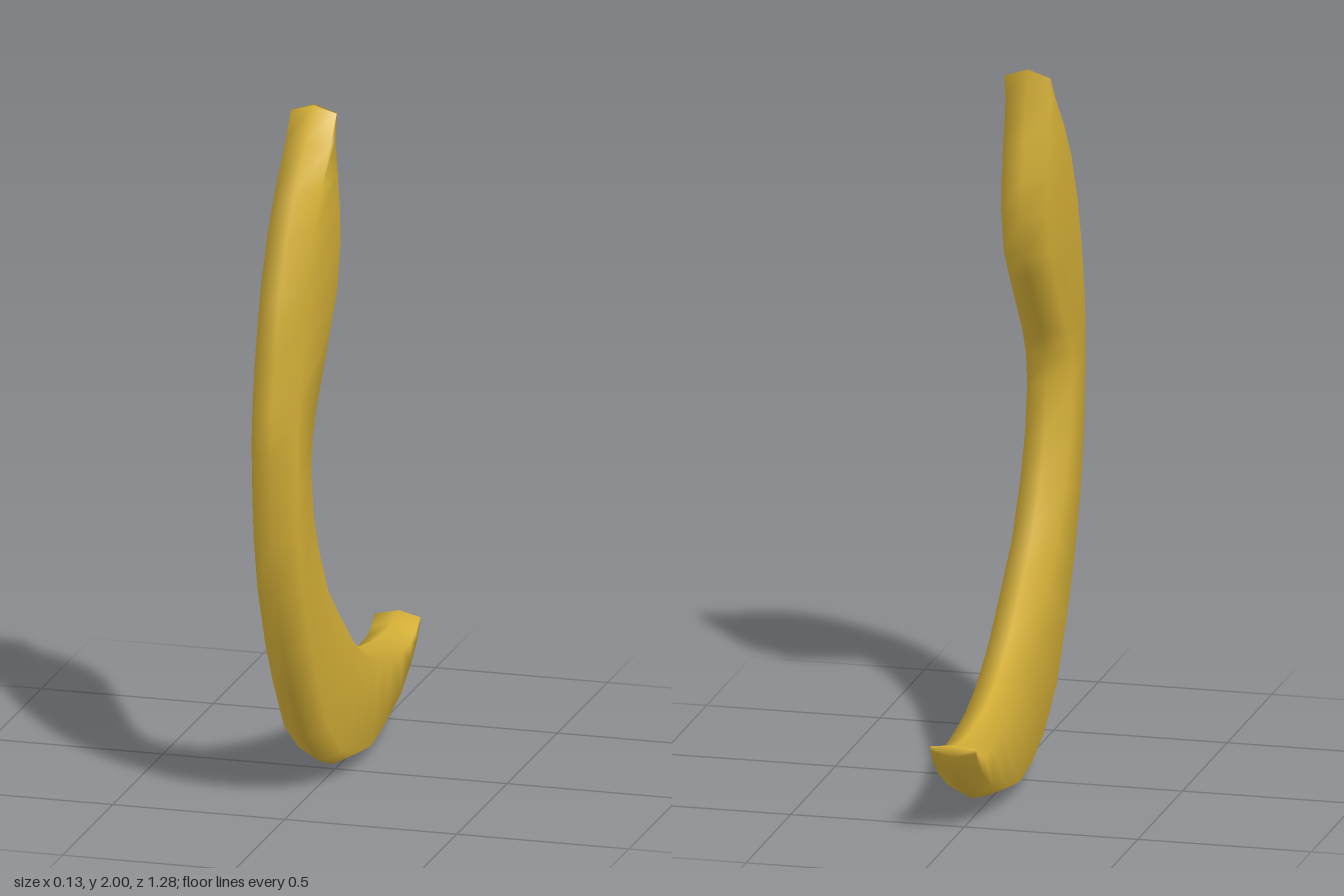
import * as THREE from 'three';

// Side outline as paired points: outer z, outer y, inner z, inner y, from top tip to back tip
const SECTIONS = [
  [0.215, 2, 0.2, 2], [0.3, 1.91, 0.185, 1.9], [0.4, 1.8, 0.16, 1.8],
  [0.48, 1.69, 0.14, 1.7], [0.55, 1.54, 0.133, 1.6], [0.58, 1.45, 0.165, 1.47],
  [0.605, 1.36, 0.22, 1.39], [0.63, 1.23, 0.32, 1.255], [0.638, 1.16, 0.37, 1.19],
  [0.64, 1.1, 0.41, 1.11], [0.635, 1, 0.425, 1.02], [0.62, 0.84, 0.4, 0.88],
  [0.58, 0.67, 0.35, 0.77], [0.5, 0.48, 0.26, 0.63], [0.42, 0.34, 0.15, 0.53],
  [0.31, 0.18, 0.01, 0.41], [0.16, 0.07, -0.08, 0.355], [0.02, 0.02, -0.15, 0.32],
  [-0.115, 0, -0.25, 0.285], [-0.25, 0.02, -0.36, 0.265], [-0.42, 0.06, -0.45, 0.256],
  [-0.53, 0.12, -0.53, 0.256], [-0.59, 0.18, -0.58, 0.26], [-0.638, 0.24, -0.638, 0.275],
];
const HALF_WIDTH = 0.066;
const BEVEL = 0.037;

// Hexagonal ring: a ridge on the outer and inner edge, flat cheeks between
function ring([oz, oy, iz, iy], sideShiftY, sideShiftZ) {
  const outer = new THREE.Vector3(0, oy, oz);
  const inner = new THREE.Vector3(0, iy, iz);
  const t = Math.min(BEVEL / outer.distanceTo(inner), 0.3);
  const cheek = (x, k) => outer.clone().lerp(inner, k).add(new THREE.Vector3(x, sideShiftY, sideShiftZ));
  return [
    outer, cheek(HALF_WIDTH, t), cheek(HALF_WIDTH, 1 - t),
    inner, cheek(-HALF_WIDTH, 1 - t), cheek(-HALF_WIDTH, t),
  ];
}

function hookGeometry() {
  const last = SECTIONS.length - 1;
  // The cheeks are set back a little at both tips
  const points = SECTIONS.flatMap((s, i) => ring(s, i === 0 ? -0.02 : 0, i === last ? 0.015 : 0));
  const index = [];
  for (let i = 0; i < last; i++) {
    for (let j = 0; j < 6; j++) {
      const a = i * 6 + j, b = i * 6 + (j + 1) % 6;
      index.push(a, a + 6, b, b, a + 6, b + 6);
    }
  }
  // Tip caps
  const e = last * 6;
  for (let j = 1; j < 5; j++) index.push(0, j, j + 1, e, e + j + 1, e + j);
  const geometry = new THREE.BufferGeometry().setFromPoints(points);
  geometry.setIndex(index);
  geometry.computeVertexNormals();
  return geometry;
}

export function createModel() {
  const gold = new THREE.MeshStandardMaterial({ color: 0xd4af37 });
  gold.name = 'gold';
  const hook = new THREE.Mesh(hookGeometry(), gold);
  hook.name = 'curvedHook';
  const group = new THREE.Group();
  group.name = 'hook';
  group.add(hook);
  return group;
}
